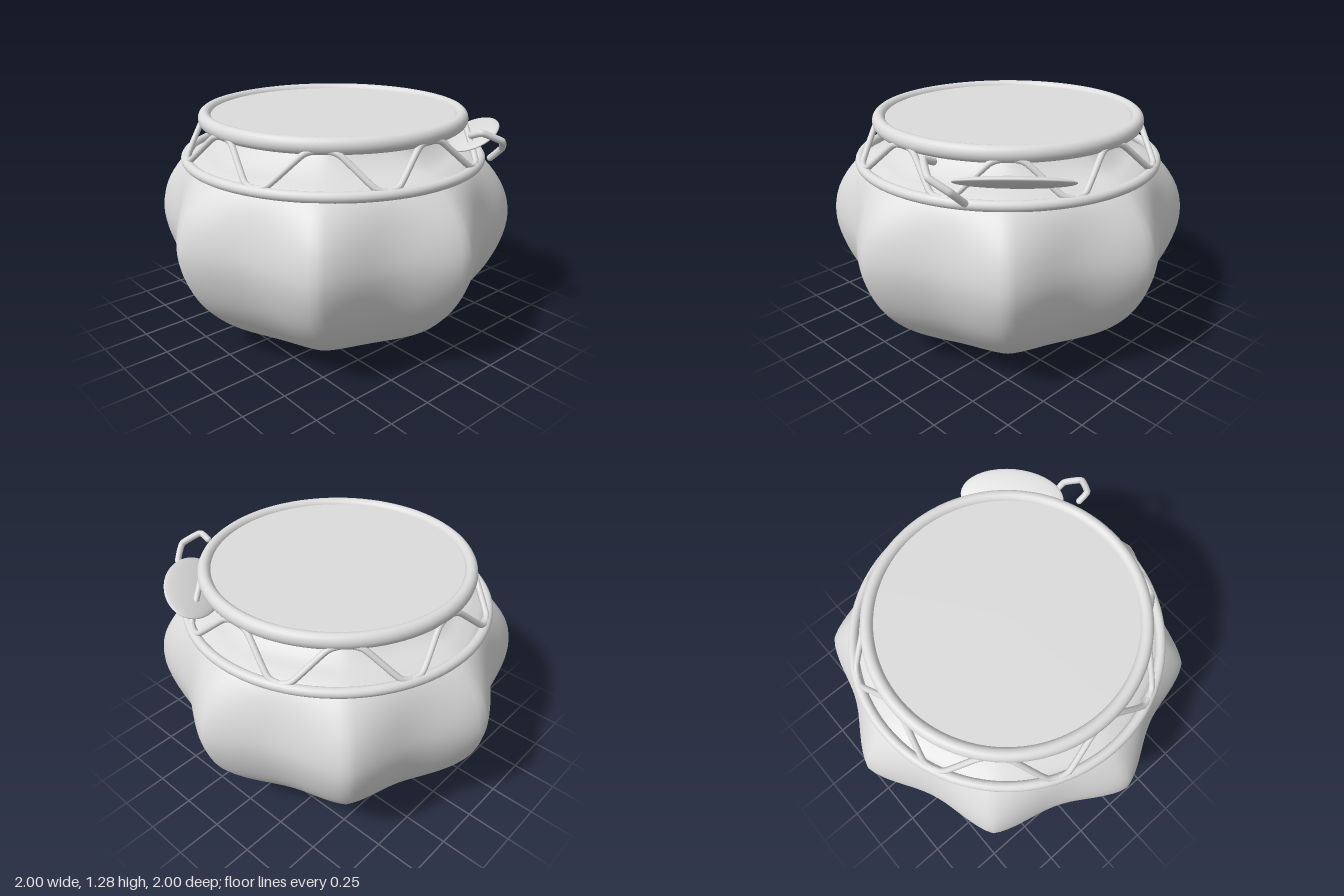
import * as THREE from 'three';
import { mergeVertices } from 'three/addons/utils/BufferGeometryUtils.js';

const clay = new THREE.MeshStandardMaterial({ color: 0xdcdcdc });
clay.name = 'pale grey clay';

function add(parent, name, geometry) {
  const mesh = new THREE.Mesh(geometry, clay);
  mesh.name = name;
  parent.add(mesh);
  return mesh;
}

// Point on a circle around the vertical axis
const polar = (radius, y, degrees) => {
  const a = THREE.MathUtils.degToRad(degrees);
  return new THREE.Vector3(radius * Math.sin(a), y, radius * Math.cos(a));
};

// Smooth tube with rounded ends
function wire(parent, name, points, radius, tension = 0.2) {
  const group = new THREE.Group();
  group.name = name;
  const path = new THREE.CatmullRomCurve3(points, false, 'catmullrom', tension);
  add(group, name + 'Tube', new THREE.TubeGeometry(path, points.length * 8, radius, 10));
  for (const end of [points[0], points[points.length - 1]]) {
    add(group, name + 'End', new THREE.SphereGeometry(radius, 10, 8)).position.copy(end);
  }
  parent.add(group);
}

// Body with eight lobes: each profile point is (ridge radius, height, groove depth)
function bodyGeometry() {
  const profile = new THREE.CatmullRomCurve3([
    [0, 0.004, 0], [0.25, 0.022, 0.01], [0.47, 0.048, 0.03], [0.6, 0.1, 0.055],
    [0.75, 0.2, 0.08], [0.92, 0.4, 0.1], [1, 0.64, 0.107], [0.965, 0.83, 0.1],
    [0.83, 1.01, 0.05], [0.76, 1.045, 0.045], [0.67, 1.075, 0.045],
    [0.59, 1.13, 0.04], [0.52, 1.21, 0.03],
  ].map((p) => new THREE.Vector3(...p)), false, 'centripetal').getPoints(72);
  profile[0].x = 0;
  const geometry = new THREE.LatheGeometry(profile.map((p) => new THREE.Vector2(p.x, p.y)), 160);
  const pos = geometry.attributes.position;
  for (let i = 0; i < pos.count; i++) {
    const x = pos.getX(i), z = pos.getZ(i);
    // Narrow ridges, broad grooves
    const groove = Math.abs(Math.sin(4 * Math.atan2(x, z))) ** 1.3;
    const k = 1 - profile[i % profile.length].z * groove;
    pos.setX(i, x * k);
    pos.setZ(i, z * k);
  }
  geometry.deleteAttribute('uv');
  geometry.deleteAttribute('normal');
  const smooth = mergeVertices(geometry, 1e-5);
  smooth.computeVertexNormals();
  return smooth;
}

export function createModel() {
  const model = new THREE.Group();
  model.name = 'lobedPot';

  add(model, 'body', bodyGeometry());

  // Rings of the collar
  const ring = (name, radius, tube, y) => {
    const mesh = add(model, name, new THREE.TorusGeometry(radius, tube, 16, 96));
    mesh.rotation.x = Math.PI / 2;
    mesh.position.y = y;
    return mesh;
  };
  ring('lowerRing', 0.813, 0.027, 1.032);
  ring('upperRing', 0.7, 0.036, 1.243).scale.z = 1.17;

  // Lid set inside the upper ring
  add(model, 'lid', new THREE.CylinderGeometry(0.69, 0.69, 0.04, 96)).position.y = 1.24;

  // Zigzag struts between the rings, flaring where they meet them
  const struts = new THREE.Group();
  struts.name = 'struts';
  for (let i = 0; i < 8; i++) {
    for (const side of [-1, 1]) {
      const at = (radius, y, degrees) => polar(radius, y, i * 45 + side * degrees);
      wire(struts, 'strut', [
        at(0.71, 1.222, 2), at(0.725, 1.202, 7), at(0.8, 1.065, 18), at(0.81, 1.045, 22.5),
      ], 0.016, 0.35);
    }
  }
  model.add(struts);

  // Tilted oval leaf resting on the lower ring, outer edge raised
  const leaf = add(model, 'leaf', new THREE.SphereGeometry(1, 40, 24));
  const along = new THREE.Vector3(0.68, 0, 0.73).normalize();
  const out = new THREE.Vector3(0.73 * 0.9, 0.43, -0.68 * 0.9).normalize();
  const up = new THREE.Vector3().crossVectors(out, along);
  leaf.quaternion.setFromRotationMatrix(new THREE.Matrix4().makeBasis(along, up, out));
  leaf.scale.set(0.288, 0.026, 0.155);
  leaf.position.set(0.525, 1.132, -0.565);

  // Bent wire hook beside the leaf
  wire(model, 'hook', [
    [0.75, 1.215, -0.27], [0.81, 1.237, -0.275], [0.862, 1.19, -0.37],
    [0.81, 1.13, -0.45], [0.735, 1.06, -0.46],
  ].map((p) => new THREE.Vector3(...p)), 0.018);

  return model;
}
